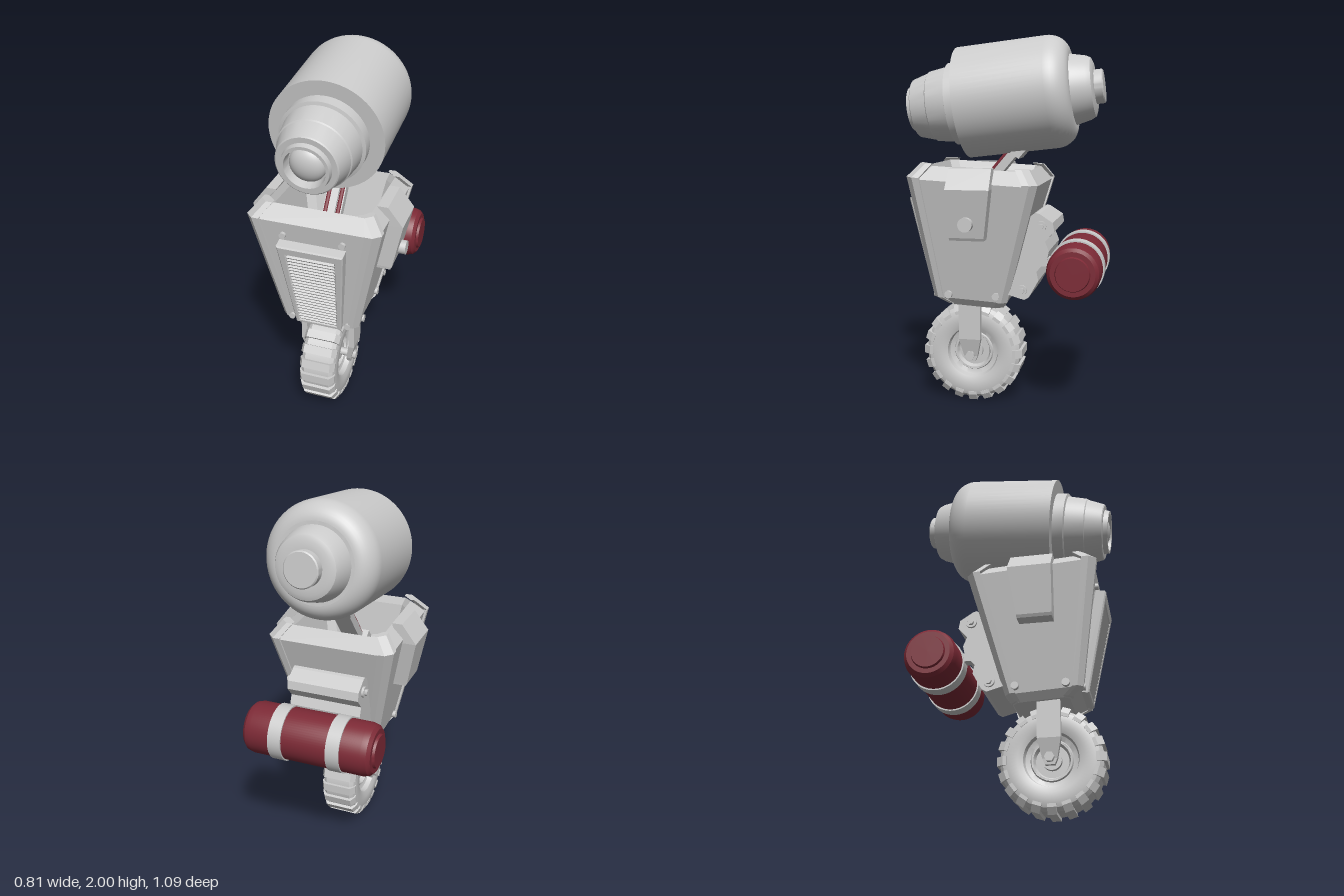
import * as THREE from 'three';
import { toCreasedNormals } from 'three/addons/utils/BufferGeometryUtils.js';

const grey = new THREE.MeshStandardMaterial({ color: 0xcccccc });
const red = new THREE.MeshStandardMaterial({ color: 0x7d2a36 });

function add(parent, name, geo, x = 0, y = 0, z = 0, mat = grey) {
  const mesh = new THREE.Mesh(geo, mat);
  mesh.name = name;
  mesh.position.set(x, y, z);
  parent.add(mesh);
  return mesh;
}

// Closed flat-faced skin through rings of equal point count, counterclockwise from above
function loft(rings) {
  const pos = [];
  const tri = (...pts) => pts.forEach((p) => pos.push(...p));
  const n = rings[0].length, last = rings[rings.length - 1];
  for (let r = 0; r < rings.length - 1; r++) {
    for (let i = 0; i < n; i++) {
      const j = (i + 1) % n, a = rings[r], b = rings[r + 1];
      tri(a[i], a[j], b[j]);
      tri(a[i], b[j], b[i]);
    }
  }
  for (let i = 1; i < n - 1; i++) {
    tri(rings[0][0], rings[0][i + 1], rings[0][i]);
    tri(last[0], last[i], last[i + 1]);
  }
  const geo = new THREE.BufferGeometry();
  geo.setAttribute('position', new THREE.Float32BufferAttribute(pos, 3));
  geo.computeVertexNormals();
  return geo;
}

const rect = (x0, x1, z0, z1, y) => {
  const [a, b] = [Math.min(x0, x1), Math.max(x0, x1)];
  return [[b, y, z1], [b, y, z0], [a, y, z0], [a, y, z1]];
};

// Turned part with sharp steps and smooth curves
function turned(profile, segments = 64) {
  const pts = profile.map(([r, t]) => new THREE.Vector2(r, t));
  return toCreasedNormals(new THREE.LatheGeometry(pts, segments), 0.5);
}

// Profile for one end, mirrored to the other
const bothEnds = (half) => [...half, ...half.slice().reverse().map(([r, t]) => [r, -t])];
const poly = (pts) => new THREE.Shape(pts.map(([x, y]) => new THREE.Vector2(x, y)));
const pinX = (r, len, sides = 20) => new THREE.CylinderGeometry(r, r, len, sides).rotateZ(Math.PI / 2);

function buildHead() {
  const head = new THREE.Group();
  head.name = 'head';
  head.position.y = 1.675;
  head.rotation.x = 0.115;
  const profile = [[0, -0.522], [0.084, -0.522], [0.09, -0.516], [0.09, -0.475], [0.13, -0.475],
    [0.155, -0.465], [0.168, -0.44], [0.187, -0.36], [0.205, -0.36]];
  // Rounded back shoulder
  for (let i = 0; i <= 10; i++) {
    const a = (i / 10) * Math.PI / 2;
    profile.push([0.2 + 0.098 * Math.sin(a), -0.245 - 0.115 * Math.cos(a)]);
  }
  profile.push([0.298, 0.235], [0.222, 0.235], [0.222, 0.295], [0.205, 0.3], [0.19, 0.405],
    [0.184, 0.41], [0.158, 0.5], [0.152, 0.505], [0.125, 0.505], [0.12, 0.532], [0.104, 0.532], [0.098, 0.48], [0, 0.48]);
  add(head, 'headShell', turned(profile).rotateX(Math.PI / 2));
  const lens = add(head, 'lens', new THREE.SphereGeometry(0.092, 32, 20), 0, 0, 0.48);
  lens.scale.z = 0.6;
  return head;
}

function buildBody() {
  const body = new THREE.Group();
  body.name = 'body';
  const tilt = (x, y, z) => [x, y + 0.055 * (z - 0.13), z];

  // Open tapered tub: height, half width, front z, back z, corner cut
  const tub = [[0.56, 0.17, 0.29, 0, 0.03], [0.6, 0.2, 0.355, -0.025, 0.03], [1.24, 0.335, 0.455, -0.205, 0.05],
    [1.31, 0.265, 0.385, -0.15, 0.04], [1.27, 0.25, 0.37, -0.14, 0.04], [1.0, 0.2, 0.32, -0.07, 0.04]];
  add(body, 'tub', loft(tub.map(([y, h, f, b, c]) => [[h, f - c], [h, b + c], [h - c, b], [c - h, b],
    [-h, b + c], [-h, f - c], [c - h, f], [h - c, f]].map(([x, z]) => tilt(x, y, z)))));

  // Corner guards: height, half width, front z, back z, arm length
  const guard = [[0.565, 0.178, 0.31, -0.01, 0.05], [0.6, 0.212, 0.365, -0.035, 0.055],
    [1.25, 0.35, 0.47, -0.217, 0.075], [1.322, 0.29, 0.41, -0.165, 0.07]];
  for (const sx of [1, -1]) {
    for (const sz of [1, -1]) {
      const rings = guard.map(([y, h, f, b, w]) => {
        const c = w * 0.5, t = 0.025, zc = sz > 0 ? f : b;
        const ring = [[w, 0], [c, 0], [0, c], [0, w], [t, w], [c, c], [w, t]]
          .map(([u, v]) => tilt(sx * (h - u), y, zc - sz * v));
        return sx * sz > 0 ? ring : ring.reverse();
      });
      add(body, 'cornerGuard', loft(rings));
    }
    // Bent shoulder plate on each side
    add(body, 'shoulderPlate', loft([rect(sx * 0.26, sx * 0.345, 0.055, 0.235, 0.945), rect(sx * 0.27, sx * 0.353, 0.053, 0.237, 0.96),
      rect(sx * 0.3, sx * 0.405, 0.015, 0.243, 1.212), rect(sx * 0.27, sx * 0.325, 0.018, 0.243, 1.315)]));
    // Corner bolts
    for (const z of [0.28, 0.02]) add(body, 'sideBolt', pinX(0.02, 0.03), sx * 0.21, 0.63, z);
    for (const [y, z] of [[1.185, 0.447], [0.62, 0.358]]) {
      add(body, 'frontBolt', pinX(0.017, 0.03).rotateY(Math.PI / 2), sx * 0.156, y, z);
    }
  }
  add(body, 'sideKnob', pinX(0.037, 0.07, 28), 0.37, 1.035, 0.14);

  // Front grille
  const grille = new THREE.Group();
  grille.name = 'grille';
  grille.position.set(0, 0.872, 0.444);
  grille.rotation.x = 0.214;
  body.add(grille);
  const frame = poly([[-0.12, -0.272], [0.12, -0.272], [0.168, 0.272], [-0.168, 0.272]]);
  frame.holes.push(poly([[-0.108, -0.258], [-0.133, 0.233], [0.133, 0.233], [0.108, -0.258]]));
  add(grille, 'grilleFrame', new THREE.ExtrudeGeometry(frame, { depth: 0.05, bevelThickness: 0.007, bevelSize: 0.007, bevelSegments: 1 }), 0, 0, -0.057);
  add(grille, 'grilleBack', loft([rect(-0.11, 0.11, -0.06, -0.035, -0.262), rect(-0.14, 0.14, -0.06, -0.035, 0.24)]));
  const slats = 22;
  for (let i = 0; i < slats; i++) {
    const k = (i + 0.5) / slats;
    const slat = add(grille, 'slat', new THREE.BoxGeometry(0.21 + 0.05 * k, 0.012, 0.032), 0, -0.25 + 0.475 * k, -0.018);
    slat.rotation.x = 0.45;
  }

  // Slanted neck strut with two rods
  const neck = new THREE.Group();
  neck.name = 'neck';
  neck.position.set(0, 1.25, 0.07);
  neck.rotation.x = -0.7;
  body.add(neck);
  add(neck, 'neckStrut', new THREE.BoxGeometry(0.1, 0.5, 0.045));
  add(neck, 'neckRib', new THREE.BoxGeometry(0.04, 0.5, 0.03), 0, 0, 0.025);
  add(neck, 'neckFoot', new THREE.BoxGeometry(0.16, 0.14, 0.09), 0, -0.2, 0);
  add(neck, 'neckTop', new THREE.BoxGeometry(0.15, 0.12, 0.09), 0, 0.23, 0);
  for (const s of [1, -1]) add(neck, 'neckRod', new THREE.CylinderGeometry(0.011, 0.011, 0.46, 12), s * 0.034, 0, 0.028, red);
  return body;
}

function buildTank() {
  const pack = new THREE.Group();
  pack.name = 'backPack';
  // Ridged mount, drawn in side profile
  const profile = poly([[0.1, 1.02], [0.19, 1.08], [0.21, 1.075], [0.28, 1.03], [0.288, 0.985], [0.24, 0.93], [0.26, 0.88], [0.25, 0.83],
    [0.195, 0.77], [0.205, 0.72], [0.155, 0.63], [0.13, 0.615], [0.04, 0.64]].reverse());
  add(pack, 'mount', new THREE.ExtrudeGeometry(profile, { depth: 0.4, bevelEnabled: false })
    .translate(0, 0, -0.2).rotateY(Math.PI / 2));
  const tank = turned(bothEnds([[0, -0.365], [0.085, -0.365], [0.09, -0.352], [0.115, -0.352],
    [0.132, -0.335], [0.14, -0.305]])).rotateZ(-Math.PI / 2);
  add(pack, 'tank', tank, 0, 0.793, -0.402, red);
  for (const s of [1, -1]) {
    add(pack, 'tankBand', pinX(0.148, 0.072, 64), s * 0.16, 0.793, -0.402);
    add(pack, 'bandTab', new THREE.BoxGeometry(0.06, 0.045, 0.1), s * 0.16, 0.82, -0.24);
    for (const [y, z] of [[1.01, -0.217], [0.667, -0.116]]) {
      add(pack, 'mountWasher', pinX(0.029, 0.02), s * 0.203, y, z);
      add(pack, 'mountBolt', pinX(0.018, 0.04, 6), s * 0.208, y, z);
    }
  }
  return pack;
}

function buildWheel() {
  const wheel = new THREE.Group();
  wheel.name = 'wheelAssembly';
  wheel.position.set(0, 0.279, 0.18);
  const tire = turned(bothEnds([[0, -0.035], [0.085, -0.035], [0.095, -0.06], [0.105, -0.06], [0.11, -0.05], [0.135, -0.06],
    [0.142, -0.088], [0.17, -0.099], [0.22, -0.099], [0.245, -0.09], [0.262, -0.07]])).rotateZ(-Math.PI / 2);
  add(wheel, 'tire', tire);
  // Tread blocks
  const block = poly([[-0.101, 0.225], [0.101, 0.225], [0.101, 0.243], [0.08, 0.277], [-0.08, 0.277], [-0.101, 0.243]]);
  const blockGeo = new THREE.ExtrudeGeometry(block, { depth: 0.046, bevelEnabled: false }).translate(0, 0, -0.023);
  const count = 20;
  for (let i = 0; i < count; i++) add(wheel, 'treadBlock', blockGeo).rotation.x = (i / count) * Math.PI * 2;
  add(wheel, 'axle', pinX(0.022, 0.26), 0, 0, 0);
  add(wheel, 'hub', pinX(0.05, 0.12, 28));
  // Fork legs, bent in toward the axle
  for (const s of [1, -1]) {
    add(wheel, 'forkLeg', loft([rect(s * 0.104, s * 0.128, -0.025, 0.025, -0.04), rect(s * 0.104, s * 0.13, -0.038, 0.038, -0.01),
      rect(s * 0.122, s * 0.155, -0.06, 0.06, 0.09), rect(s * 0.122, s * 0.155, -0.06, 0.06, 0.33)]));
    add(wheel, 'axleNut', pinX(0.026, 0.035, 6), s * 0.135, -0.005, 0);
  }
  return wheel;
}

export function createModel() {
  const model = new THREE.Group();
  model.name = 'wheeledRobot';
  model.add(buildHead(), buildBody(), buildTank(), buildWheel());
  return model;
}
